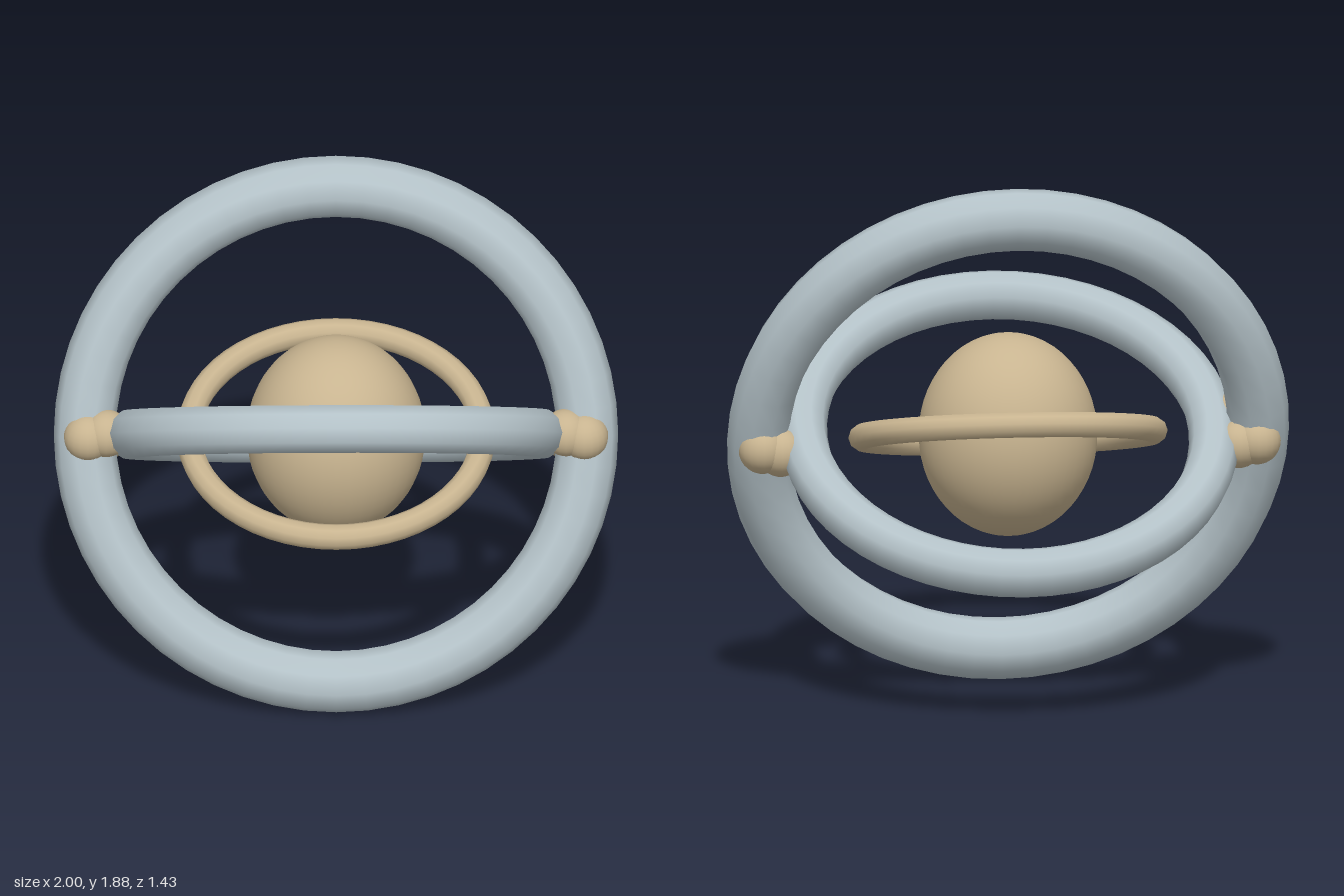
import * as THREE from 'three';

const CENTER_Y = 0.945;

export function createModel() {
  const model = new THREE.Group();
  model.name = 'gyroscope';

  const steel = new THREE.MeshStandardMaterial({ color: 0xb4c2c8 });
  steel.name = 'pale blue grey';
  const sand = new THREE.MeshStandardMaterial({ color: 0xc8b490 });
  sand.name = 'sand';

  const add = (name, geometry, material, x = 0, y = 0, z = 0) => {
    const mesh = new THREE.Mesh(geometry, material);
    mesh.name = name;
    mesh.position.set(x, CENTER_Y + y, z);
    model.add(mesh);
    return mesh;
  };

  // Three nested rings, each tilted about the shared x axis
  const ring = (name, radius, tube, tilt, material) => {
    const mesh = add(name, new THREE.TorusGeometry(radius, tube, 10, 56), material);
    mesh.rotation.x = THREE.MathUtils.degToRad(tilt);
  };
  ring('outerRing', 0.89, 0.11, -20, steel);
  ring('middleRing', 0.73, 0.088, 59, steel);
  ring('innerRing', 0.52, 0.046, -75, sand);

  // Egg-shaped core
  const core = add('core', new THREE.SphereGeometry(0.317, 40, 28), sand);
  core.scale.y = 0.363 / 0.317;

  // Rounded pivot lumps where the outer and middle rings cross
  const knob = new THREE.SphereGeometry(0.085, 20, 14);
  for (const side of [-1, 1]) {
    for (const face of [-1, 1]) {
      add('pivotOuterKnob', knob, sand, side * 0.88, face * 0.027, face * 0.066);
      add('pivotInnerKnob', knob, sand, side * 0.815, face * 0.04, face * 0.062);
    }
  }
  return model;
}
